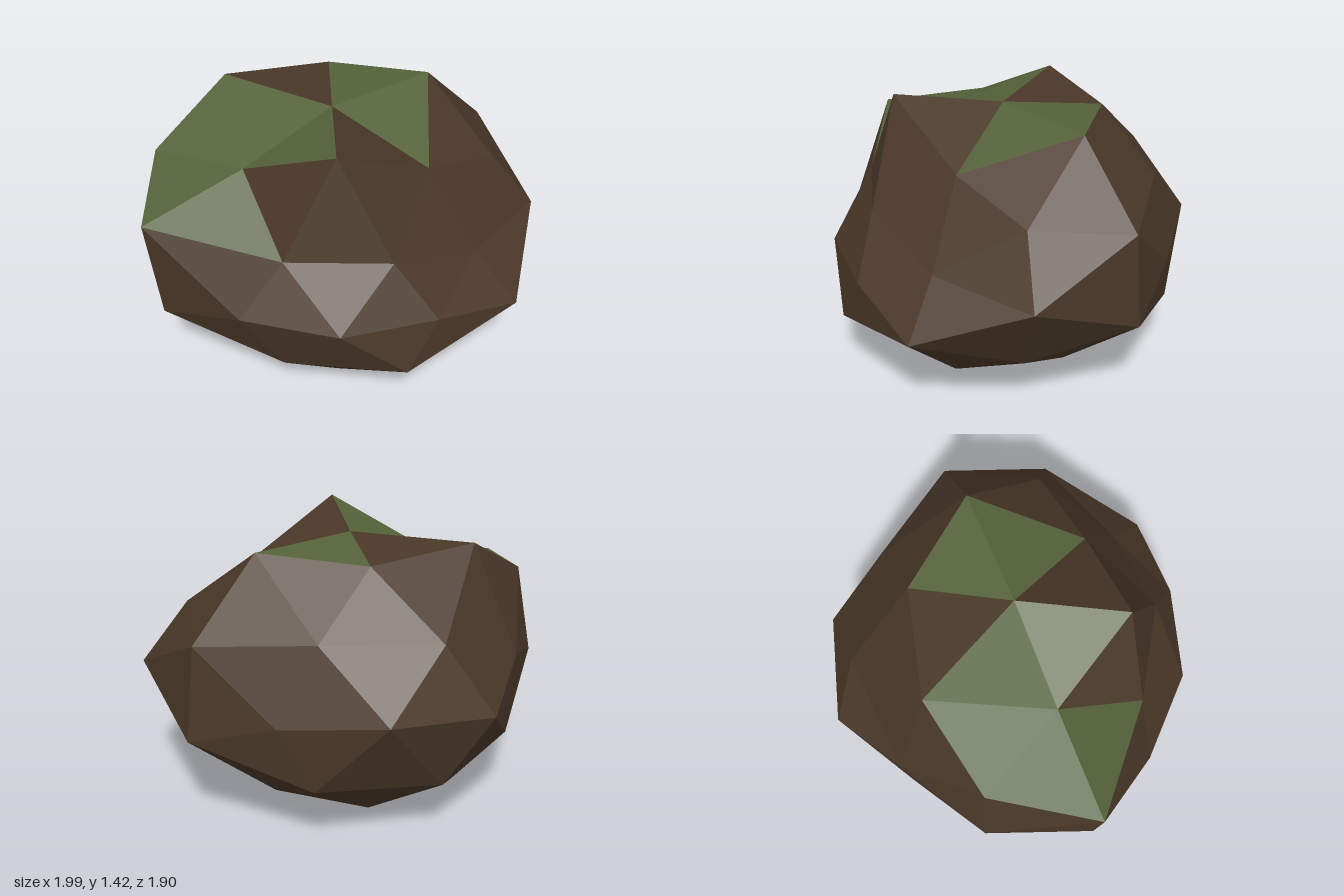
import * as THREE from 'three';

// [horizontal radius, height] of each corner, ring by ring, ordered by angle from +x towards +z
const RINGS = {
  peak: [[0, 1.355]],
  crown: [[0.55, 1.16], [0.56, 1.42], [0.53, 1.18], [0.65, 1.36], [0.52, 1.32], [0.61, 1.355]],
  shoulder: [[0.75, 0.9], [0.74, 0.92], [0.91, 1.12], [0.84, 1.01], [0.8, 1.03], [0.84, 1.03]],
  upper: [[0.825, 0.75], [1.09, 1.065], [0.89, 0.81], [0.99, 0.975]],
  belt: [[0.93, 0.61], [0.91, 0.62], [0.92, 0.64], [1.0, 0.65], [1.015, 0.665], [1.0, 0.71], [0.925, 0.645], [1.08, 0.72]],
  lower: [[1.08, 0.5], [1.035, 0.5], [0.86, 0.38], [1.04, 0.5]],
  flank: [[0.94, 0.34], [0.775, 0.28], [0.92, 0.3], [0.86, 0.3], [0.9, 0.335], [0.83, 0.3]],
  base: [[0.59, 0.07], [0.555, 0.05], [0.51, 0.05], [0.6, 0.07], [0.53, 0.05], [0.515, 0.05]],
  foot: [[0, 0]],
};

// Angles (degrees) at which the corners of each kind of ring sit
const A6 = [0, 58.3, 116.6, 180, 238.3, 296.6];
const B6 = [37.4, 79.2, 148.3, 217.4, 259.2, 328.3];
const C4 = [0, 116.6, 180, 296.6];
const D8 = [26.6, 58.3, 90, 148.3, 206.6, 238.3, 270, 328.3];
const ANGLES = { peak: [0], crown: A6, shoulder: B6, upper: C4, belt: D8, lower: C4, flank: B6, base: A6, foot: [0] };

function ringOf(y) {
  const h = Math.abs(y);
  const up = y > 0;
  if (h > 0.95) return up ? 'peak' : 'foot';
  if (h > 0.7) return up ? 'crown' : 'base';
  if (h > 0.4) return up ? 'shoulder' : 'flank';
  if (h > 0.15) return up ? 'upper' : 'lower';
  return 'belt';
}

function nearest(angles, deg) {
  const gap = (a) => Math.abs(((deg - a + 540) % 360) - 180);
  let best = 0;
  angles.forEach((a, i) => { if (gap(a) < gap(angles[best])) best = i; });
  return best;
}

// Moss lies on the faces round one crown corner and beside the peak
function isMoss(ids) {
  const has = (id) => ids.includes(id);
  if (has('crown2')) return !(has('crown1') && has('shoulder1'));
  return has('peak0') && has('crown5');
}

function makePart(name, positions, material) {
  const geometry = new THREE.BufferGeometry();
  geometry.setAttribute('position', new THREE.Float32BufferAttribute(positions, 3));
  geometry.computeVertexNormals();
  const mesh = new THREE.Mesh(geometry, material);
  mesh.name = name;
  return mesh;
}

export function createModel() {
  const group = new THREE.Group();
  group.name = 'mossyBoulder';

  const stone = new THREE.MeshStandardMaterial({ color: 0x4a3828 });
  stone.name = 'brown stone';
  const moss = new THREE.MeshStandardMaterial({ color: 0x56633a });
  moss.name = 'green moss';

  // Faceted ball, turned so its top edge runs diagonally
  const ball = new THREE.IcosahedronGeometry(1, 1).toNonIndexed();
  ball.rotateY(-THREE.MathUtils.degToRad(58.28));
  const pos = ball.attributes.position;

  const stoneFaces = [];
  const mossFaces = [];
  for (let f = 0; f < pos.count; f += 3) {
    const ids = [];
    const corners = [];
    for (let k = 0; k < 3; k++) {
      const v = new THREE.Vector3().fromBufferAttribute(pos, f + k);
      const ring = ringOf(v.y);
      const angle = Math.atan2(v.z, v.x);
      const i = nearest(ANGLES[ring], THREE.MathUtils.radToDeg(angle));
      const [radius, height] = RINGS[ring][i];
      const turn = THREE.MathUtils.degToRad(ANGLES[ring][i]);
      ids.push(ring + i);
      corners.push(-0.08 + radius * Math.cos(turn), height, -0.02 + radius * Math.sin(turn));
    }
    (isMoss(ids) ? mossFaces : stoneFaces).push(...corners);
  }

  group.add(makePart('boulder', stoneFaces, stone));
  group.add(makePart('mossPatch', mossFaces, moss));
  return group;
}
